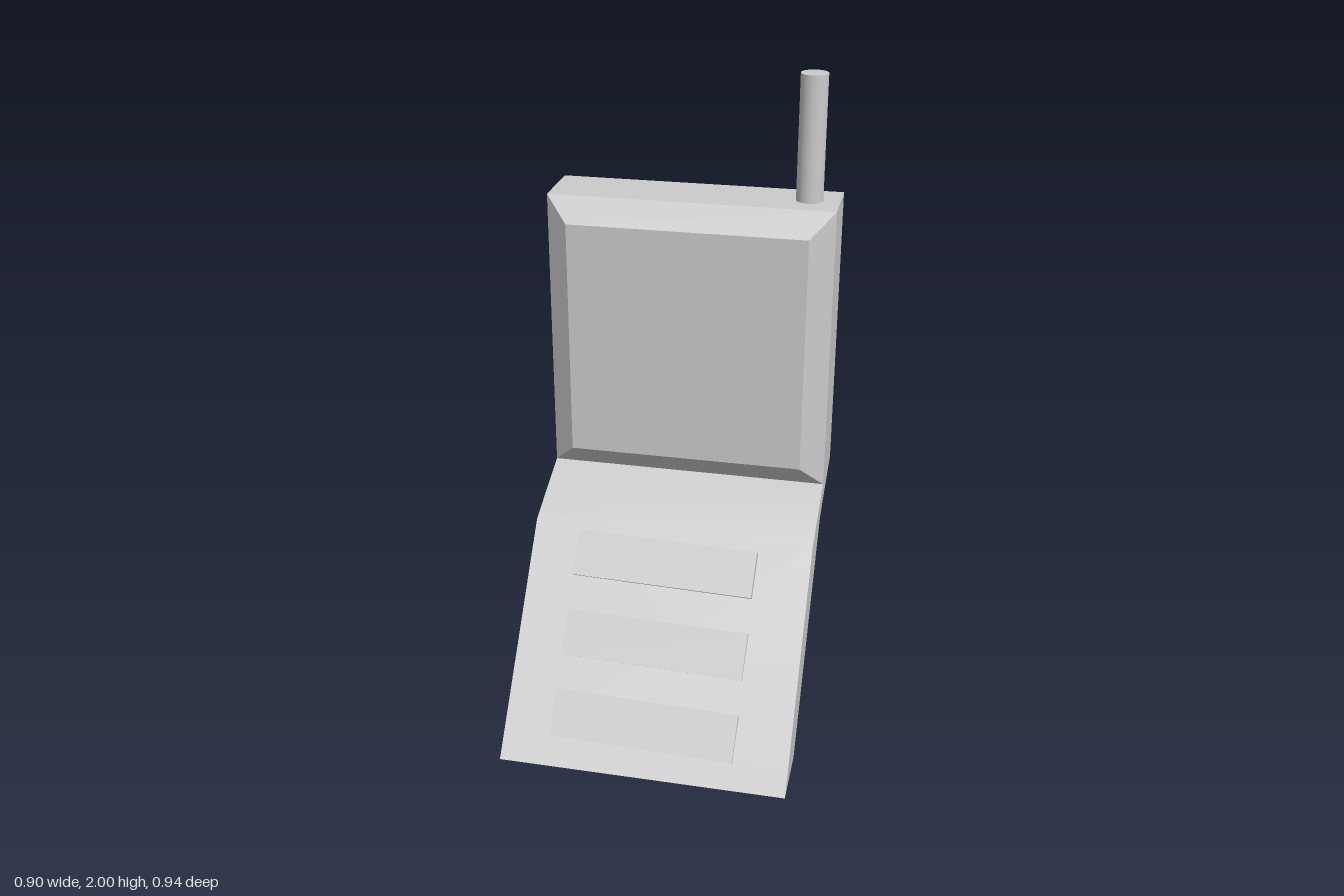
import * as THREE from 'three';
import { toCreasedNormals } from 'three/addons/utils/BufferGeometryUtils.js';

const WIDTH = 0.9;

export function createModel() {
  const model = new THREE.Group();
  model.name = 'flipPhone';
  const grey = new THREE.MeshStandardMaterial({ color: 0xcccccc });
  const add = (name, geometry, x = 0, y = 0, z = 0) => {
    const mesh = new THREE.Mesh(geometry, grey);
    mesh.name = name;
    mesh.position.set(x, y, z);
    model.add(mesh);
    return mesh;
  };

  // Body: bent side profile (z, y) extruded across the width, bend softly shaded
  const profile = [
    [0.47, 0], [0.27, 0], [-0.22, 0.595], [-0.473, 0.69],
    [-0.473, 1.612], [-0.267, 1.612], [-0.267, 0.69], [-0.02, 0.595],
  ];
  const shape = new THREE.Shape(profile.map(([z, y]) => new THREE.Vector2(-z, y)));
  const body = new THREE.ExtrudeGeometry(shape, { depth: WIDTH, bevelEnabled: false });
  body.translate(0, 0, -WIDTH / 2).rotateY(Math.PI / 2);
  add('body', toCreasedNormals(body, 0.65));

  // Screen: box whose front face is drawn in to form a wide bevel
  const screen = new THREE.BoxGeometry(WIDTH, 0.922, 0.058).toNonIndexed();
  const p = screen.attributes.position;
  for (let i = 0; i < p.count; i++) {
    if (p.getZ(i) > 0) p.setXY(i, p.getX(i) * 0.838, p.getY(i) * 0.836);
  }
  screen.computeVertexNormals();
  add('screen', screen, 0, 1.151, -0.238);

  // Key bars: slightly skewed slabs set into the sloping lower panel
  const keyDepth = 0.06;
  const keyGeometry = new THREE.BoxGeometry(0.58, 0.145, keyDepth);
  keyGeometry.translate(0, 0, -keyDepth / 2);
  [[0.53, 0.066], [0.325, 0.217], [0.13, 0.378]].forEach(([y, z], i) => {
    add(`keyBar${i + 1}`, keyGeometry, -0.01, y, z).rotation.set(-0.646, -0.0145, -0.023);
  });

  // Antenna
  add('antenna', new THREE.CylinderGeometry(0.042, 0.042, 0.4, 32), 0.355, 1.8, -0.372);

  return model;
}
